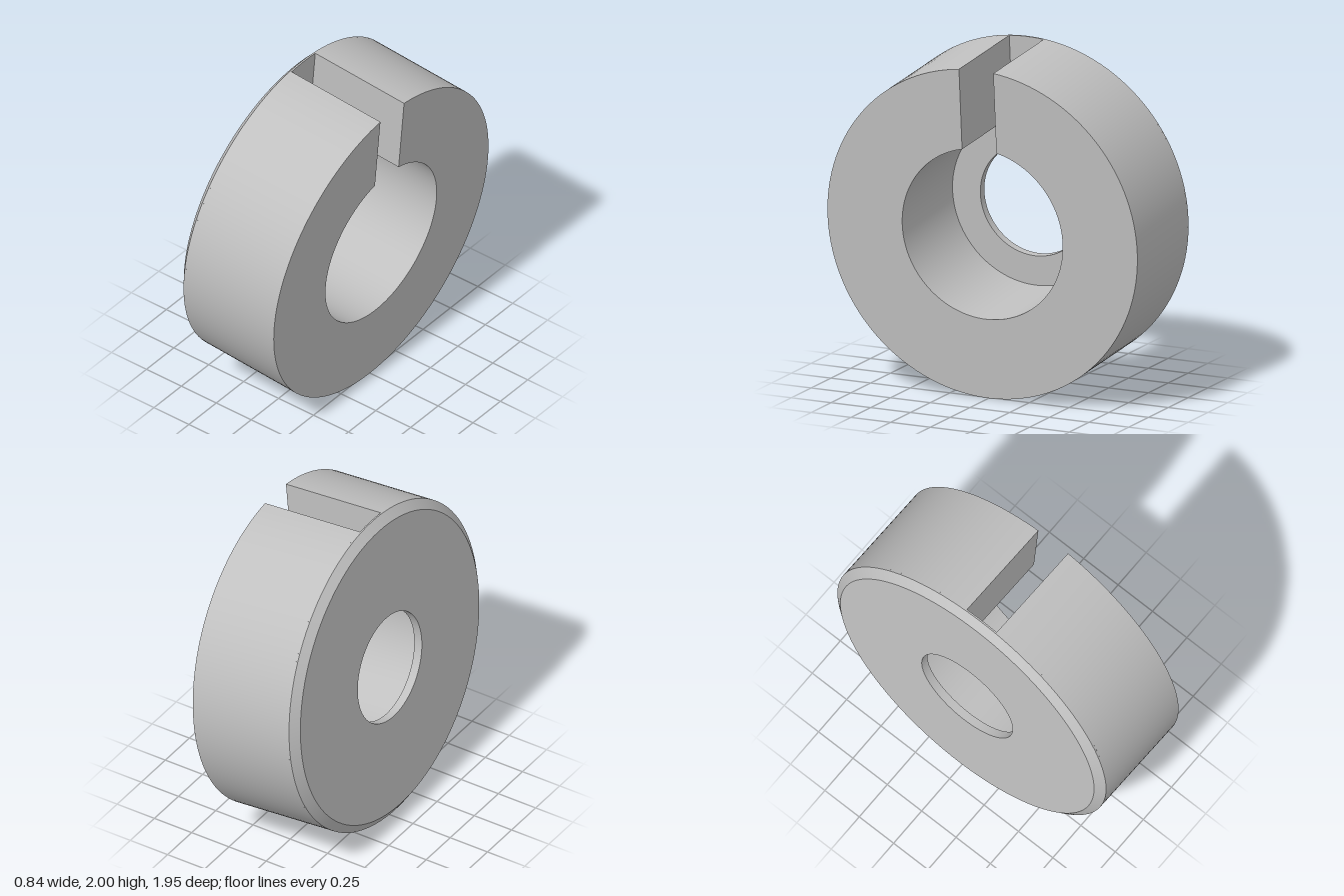
import * as THREE from 'three';
import { toCreasedNormals } from 'three/addons/utils/BufferGeometryUtils.js';

const OUTER = 0.975, BORE = 0.505, HOLE = 0.33; // radii
const SLOT = 0.108;                             // half width of the slot
const FLOOR = -0.638, CHAMFER = -0.648, BACK = -0.689; // positions along the axis

export function createModel() {
  const grey = new THREE.MeshStandardMaterial({ color: 0xc0c0c0 });
  grey.name = 'light grey';

  // Ring body, open at the top where the slot cuts through to the bore
  const a = Math.asin(SLOT / OUTER), b = Math.asin(SLOT / BORE);
  const top = Math.PI / 2, turn = Math.PI * 2;
  const outline = new THREE.Shape();
  outline.absarc(0, 0, OUTER, top + a, top + turn - a, false);
  outline.absarc(0, 0, BORE, top + turn - b, top + b, true);
  outline.closePath();
  const ringGeo = new THREE.ExtrudeGeometry(outline, {
    depth: -FLOOR, bevelEnabled: false, curveSegments: 64,
  });
  ringGeo.rotateY(Math.PI / 2).translate(FLOOR, 0, 0);
  const ring = new THREE.Mesh(toCreasedNormals(ringGeo, 0.5), grey);
  ring.name = 'slottedRing';

  // Thin back plate with a smaller hole and a chamfered rim
  const profile = [
    [HOLE, BACK], [0.921, BACK], [OUTER, CHAMFER],
    [OUTER, FLOOR], [HOLE, FLOOR], [HOLE, BACK],
  ].map(([r, y]) => new THREE.Vector2(r, y));
  const plateGeo = new THREE.LatheGeometry(profile, 128);
  plateGeo.rotateZ(-Math.PI / 2);
  const plate = new THREE.Mesh(toCreasedNormals(plateGeo, 0.5), grey);
  plate.name = 'backPlate';

  // The whole collar leans slightly towards +x
  const collar = new THREE.Group();
  collar.name = 'collar';
  collar.add(ring, plate);
  collar.rotation.z = -0.0825;
  collar.position.set(0.342, 0.973, 0);

  const model = new THREE.Group();
  model.name = 'slottedCollar';
  model.add(collar);
  return model;
}
